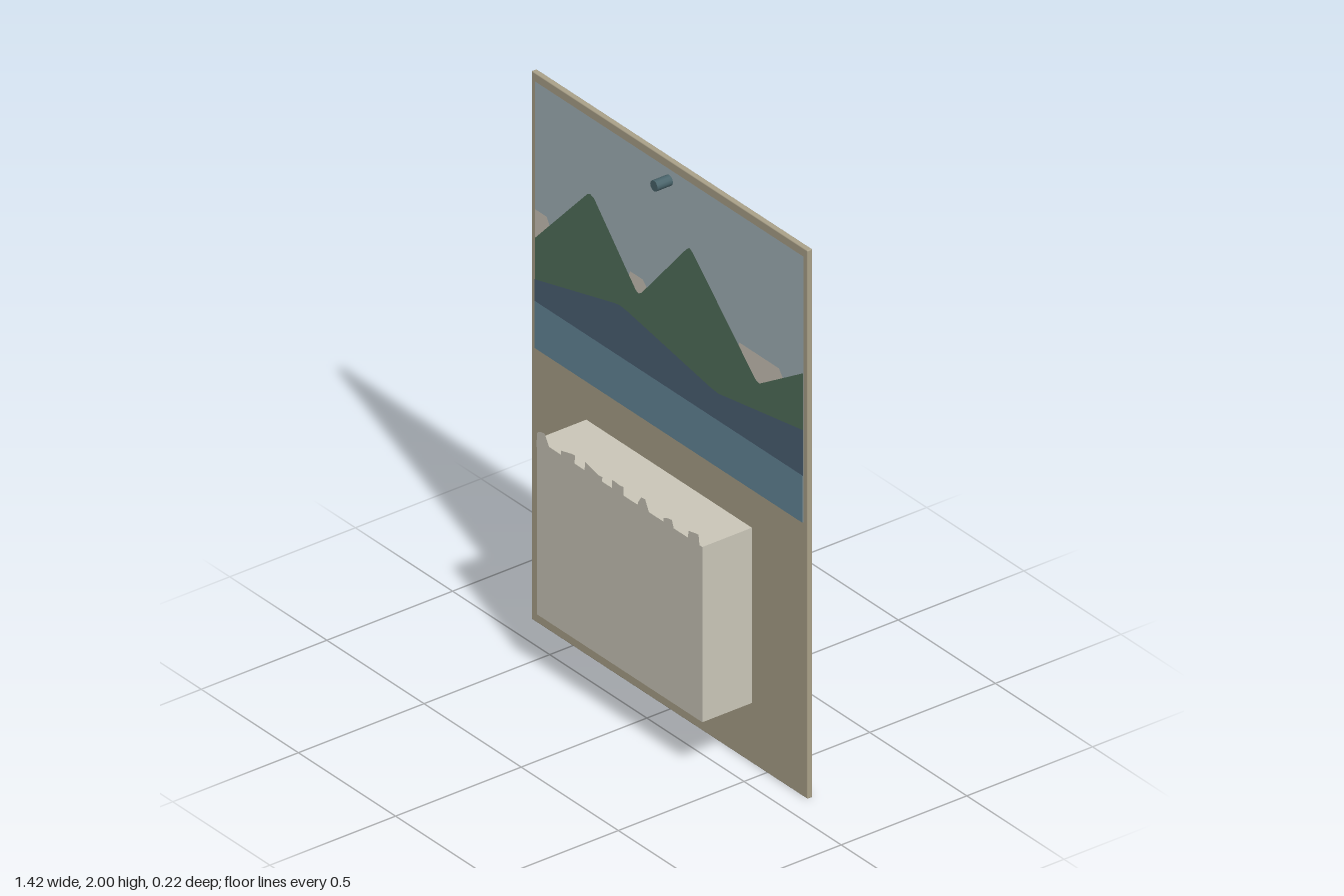
import * as THREE from 'three';
import { RoundedBoxGeometry } from 'three/addons/geometries/RoundedBoxGeometry.js';

const material = (name, color) => {
  const m = new THREE.MeshStandardMaterial({ color, side: THREE.DoubleSide });
  m.name = name;
  return m;
};

export function createModel() {
  const board = material('cardboard', 0xaaa189);
  const paper = material('paper', 0xcac6b8);
  const sky = material('sky blue', 0xa3b3b8);
  const cloud = material('cloud cream', 0xcbc5b8);
  const green = material('mountain green', 0x52705c);
  const slate = material('hill slate', 0x4c6175);
  const water = material('lake blue', 0x65889a);
  const steel = material('peg steel', 0x48636a);

  const group = new THREE.Group();
  const add = (name, geometry, mat, x = 0, y = 0, z = 0) => {
    const mesh = new THREE.Mesh(geometry, mat);
    mesh.name = name;
    mesh.position.set(x, y, z);
    group.add(mesh);
    return mesh;
  };
  // Flat printed face from an outline
  const flat = (name, points, mat, z) => add(name,
    new THREE.ShapeGeometry(new THREE.Shape(points.map(p => new THREE.Vector2(...p)))), mat, 0, 0, z);
  // Band between a ridge line and a level base
  const ridge = (name, points, base, mat, z) =>
    flat(name, [[-0.69, base], [0.69, base], ...[...points].reverse()], mat, z);

  // Backing board
  add('backingBoard', new RoundedBoxGeometry(1.42, 2, 0.02, 2, 0.004), board, 0, 1, -0.1);

  // Printed landscape, layered from back to front
  const front = -0.09, step = 0.0008;
  ridge('sky', [[-0.69, 1.97], [0.69, 1.97]], 1, sky, front + step);
  const clouds = [
    [[-0.69, 1.35], [-0.6, 1.43], [-0.61, 1.47], [-0.63, 1.505], [-0.69, 1.505]],
    [[-0.25, 1.4], [-0.08, 1.4], [-0.11, 1.48], [-0.135, 1.505], [-0.2, 1.505]],
    [[0.34, 1.4], [0.6, 1.4], [0.585, 1.48], [0.565, 1.505], [0.36, 1.505]]
  ];
  for (const outline of clouds) flat('cloud', outline, cloud, front + step * 2);
  ridge('mountains', [[-0.69, 1.4], [-0.42, 1.685], [-0.405, 1.692], [-0.385, 1.685],
    [-0.17, 1.45], [-0.155, 1.445], [-0.14, 1.455], [0.09, 1.72], [0.105, 1.732],
    [0.125, 1.72], [0.445, 1.41], [0.465, 1.403], [0.69, 1.545]], 1.17, green, front + step * 3);
  ridge('nearHills', [[-0.69, 1.25], [-0.28, 1.353], [-0.25, 1.358], [-0.21, 1.353],
    [0.21, 1.275], [0.255, 1.27], [0.69, 1.338]], 1.17, slate, front + step * 4);
  ridge('lake', [[-0.69, 1.172], [0.69, 1.172]], 1, water, front + step * 5);

  // Thick block of pages
  add('pageBlock', new THREE.BoxGeometry(0.852, 0.639, 0.197), paper, -0.002, 0.5385, 0.0085);

  // Torn remnants along the top edge: each has left, left height, right height, right
  const scraps = [
    [-0.428, 0.885, 0.898, -0.385, -0.36], [-0.305, 0.875, 0.891, -0.228, -0.232],
    [-0.182, 0.891, 0.877, -0.088, -0.09], [-0.042, 0.891, 0.891, 0.021, 0.021],
    [0.09, 0.87, 0.898, 0.132, 0.153], [0.222, 0.874, 0.886, 0.27, 0.28],
    [0.35, 0.886, 0.896, 0.407, 0.412]
  ];
  for (const [left, leftTop, rightTop, tip, right] of scraps) {
    flat('tornScrap', [[left, 0.83], [right, 0.83], [right, 0.857], [tip, rightTop],
      [tip - 0.02, rightTop - 0.003], [left + 0.005, leftTop]], paper, 0.109);
  }

  // Hanging peg
  const peg = add('hangingPeg', new THREE.CylinderGeometry(0.019, 0.019, 0.062, 12), steel, 0, 1.93, -0.059);
  peg.rotation.x = Math.PI / 2;

  return group;
}
